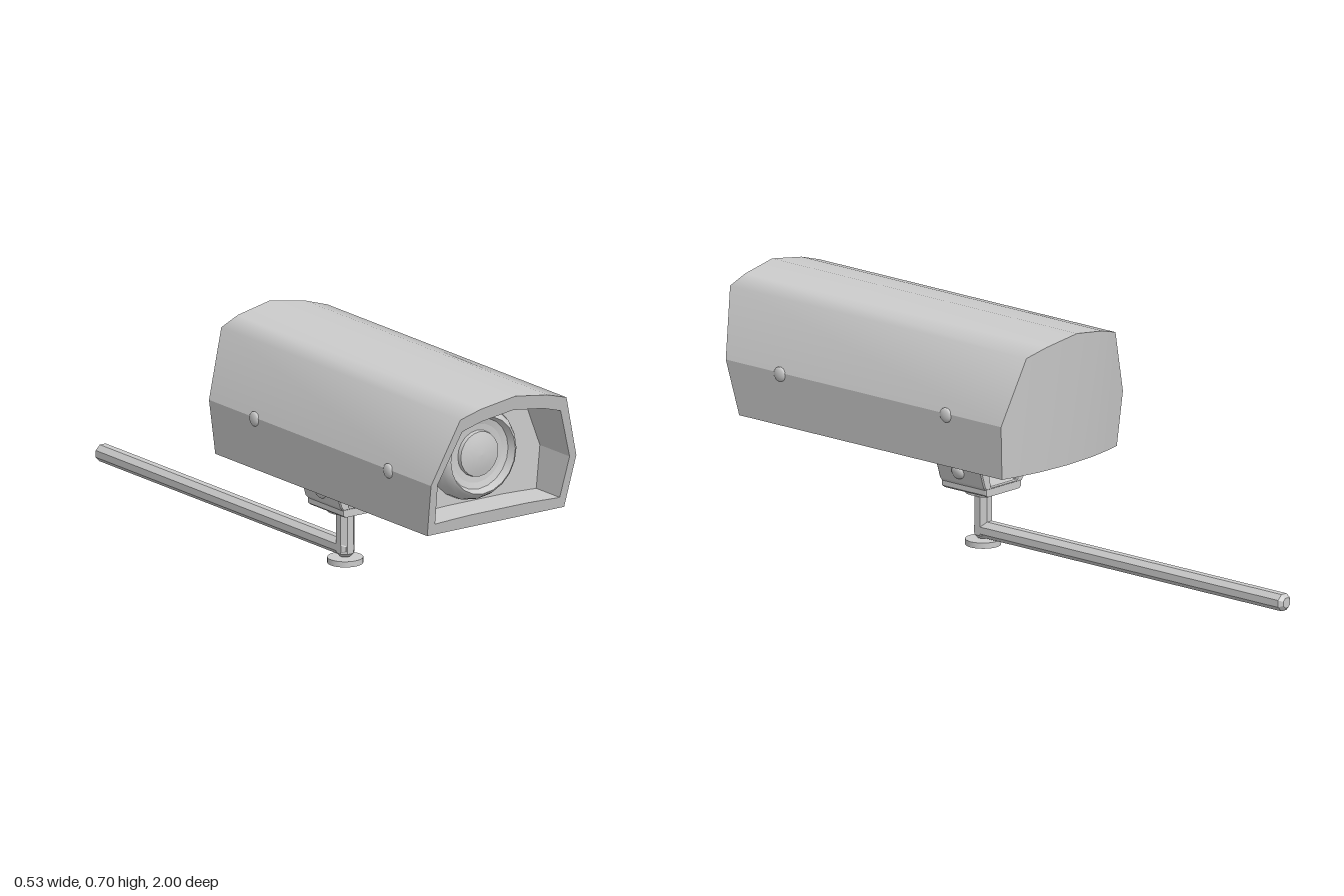
import * as THREE from 'three';

const material = new THREE.MeshStandardMaterial({ color: 0xcccccc });
const flatMaterial = new THREE.MeshStandardMaterial({ color: 0xcccccc, flatShading: true });
const V = (x, y, z) => new THREE.Vector3(x, y, z);

function add(parent, name, geometry, mat = material) {
  const mesh = new THREE.Mesh(geometry, mat);
  mesh.name = name;
  parent.add(mesh);
  return mesh;
}

// Surface between two rows of points
function strip(a, b) {
  const n = a.length, index = [];
  for (let i = 0; i < n - 1; i++) index.push(i, i + 1, n + i + 1, i, n + i + 1, n + i);
  const g = new THREE.BufferGeometry().setFromPoints([...a, ...b]);
  g.setIndex(index);
  g.computeVertexNormals();
  return g;
}

// Mirrors a half profile (centre outwards) into a left-to-right row
const mirrored = half => [...half.slice(1).reverse().map(([x, y]) => [-x, y]), ...half];

// Slanted front opening and gently bowed back
const frontZ = y => 0.905 + (y - 0.298) * 0.238;
const backZ = (x, y) => -0.15 - (y - 0.298) * 0.088 + 0.035 * Math.pow(Math.abs(x) / 0.25, 2);

function buildHousing() {
  const g = new THREE.Group();
  g.name = 'housing';
  const top = mirrored([[0, 0.697], [0.12, 0.678], [0.19, 0.657], [0.26, 0.46]]);
  const bottom = mirrored([[0, 0.298], [0.11, 0.298], [0.185, 0.298], [0.245, 0.298]]);
  const innerTop = mirrored([[0, 0.653], [0.11, 0.637], [0.176, 0.617], [0.236, 0.46]]);
  const innerBottom = mirrored([[0, 0.337], [0.1, 0.337], [0.16, 0.335], [0.223, 0.332]]);
  const front = row => row.map(([x, y]) => V(x, y, frontZ(y)));
  const back = row => row.map(([x, y]) => V(x, y, backZ(x, y)));
  const deep = row => row.map(([x, y]) => V(x, y, 0.8));
  const loop = (lower, upper) => [...lower, ...upper.slice().reverse(), lower[0]];

  // Outer skin: smooth roof, flat lower sides, flat underside
  const roof = top.slice().reverse();
  add(g, 'roof', strip(back(roof), front(roof)));
  const right = [bottom[6], top[6]], left = [top[0], bottom[0]];
  add(g, 'lowerLeftSide', strip(back(right), front(right)));
  add(g, 'lowerRightSide', strip(back(left), front(left)));
  add(g, 'underside', strip(back(bottom), front(bottom)));
  add(g, 'backPanel', strip(back(top), back(bottom)));

  // Recessed front
  const inner = loop(innerBottom, innerTop);
  add(g, 'frontRim', strip(front(loop(bottom, top)), front(inner)), flatMaterial);
  add(g, 'recessWalls', strip(front(inner), deep(inner)), flatMaterial);
  add(g, 'recessPanel', strip(deep(innerBottom), deep(innerTop)));
  return g;
}

function buildLens() {
  const g = new THREE.Group();
  g.name = 'lens';
  g.position.set(-0.017, 0.49, 0.8);
  g.rotation.x = Math.PI / 2;
  const turn = (name, pts) =>
    add(g, name, new THREE.LatheGeometry(pts.map(p => new THREE.Vector2(...p)), 20));
  turn('lensBarrel', [[0.144, 0], [0.142, 0.022], [0.134, 0.045], [0.124, 0.061], [0.115, 0.068]]);
  turn('lensLip', [[0.115, 0.068], [0.106, 0.045]]);
  turn('innerRing', [[0.106, 0.045], [0.088, 0.04]]);
  turn('lensFace', [[0.088, 0.04], [0.069, 0.038]]);
  turn('glassEdge', [[0.069, 0.038], [0.067, 0.05]]);
  turn('glass', [[0.067, 0.05], [0.045, 0.056], [0.022, 0.06], [0, 0.061]]);
  return g;
}

// Domed screw head, its axis tilted about z
function screw(parent, x, y, z, tilt, bulge) {
  const head = add(parent, 'screwHead', new THREE.SphereGeometry(0.022, 16, 10));
  head.scale.x = bulge;
  head.position.set(x, y, z);
  head.rotation.z = tilt;
}

function buildBracket() {
  const g = new THREE.Group();
  g.name = 'bracket';
  // Yoke with a through window
  const yoke = new THREE.Shape(
    [[-0.074, 0.192], [0.074, 0.192], [0.081, 0.2], [0.105, 0.277], [0.105, 0.3], [-0.105, 0.3], [-0.105, 0.277], [-0.081, 0.2]]
      .map(p => new THREE.Vector2(...p)));
  yoke.holes.push(new THREE.Path(
    [[-0.057, 0.194], [-0.071, 0.268], [-0.064, 0.278], [0.064, 0.278], [0.071, 0.268], [0.057, 0.194]]
      .map(p => new THREE.Vector2(...p))));
  const bevel = { bevelThickness: 0.004, bevelSize: 0.003, bevelSegments: 1 };
  add(g, 'yoke', new THREE.ExtrudeGeometry(yoke, { depth: 0.168, ...bevel }), flatMaterial)
    .position.z = 0.102;
  // Chamfered base plate
  const plate = new THREE.Shape(
    [[-0.066, 0.168], [0.066, 0.168], [0.074, 0.174], [0.074, 0.194], [-0.074, 0.194], [-0.074, 0.174]]
      .map(p => new THREE.Vector2(...p)));
  add(g, 'yokeBase', new THREE.ExtrudeGeometry(plate, { depth: 0.164, ...bevel, bevelSize: 0.001 }), flatMaterial)
    .position.z = 0.104;
  for (const s of [-1, 1]) screw(g, s * 0.097, 0.232, 0.19, s * -0.32, 0.5);
  return g;
}

// Octagonal bar with chamfered ends, standing on its origin
function bar(parent, name, length) {
  const pts = [[0, 0], [0.016, 0], [0.027, 0.011], [0.027, length - 0.011], [0.016, length], [0, length]];
  const geometry = new THREE.LatheGeometry(pts.map(p => new THREE.Vector2(...p)), 8);
  geometry.rotateY(Math.PI / 8);
  return add(parent, name, geometry, flatMaterial);
}

function buildStand() {
  const g = new THREE.Group();
  g.name = 'stand';
  const z = 0.18;
  add(g, 'footDisc', new THREE.CylinderGeometry(0.052, 0.052, 0.017, 32)).position.set(0, 0.0085, z);
  add(g, 'swivelDisc', new THREE.CylinderGeometry(0.052, 0.052, 0.013, 32)).position.set(0, 0.1625, z);
  bar(g, 'post', 0.137).position.set(0, 0.02, z);
  const rod = bar(g, 'wallRod', 1.203);
  rod.rotation.x = -Math.PI / 2;
  rod.position.set(0, 0.047, 0.203);
  return g;
}

export function createModel() {
  const model = new THREE.Group();
  model.name = 'securityCamera';
  const housing = buildHousing();
  for (const s of [-1, 1])
    for (const z of [0.09, 0.735]) screw(housing, s * 0.258, 0.455, z, 0, 0.42);
  model.add(housing, buildLens(), buildBracket(), buildStand());
  return model;
}
